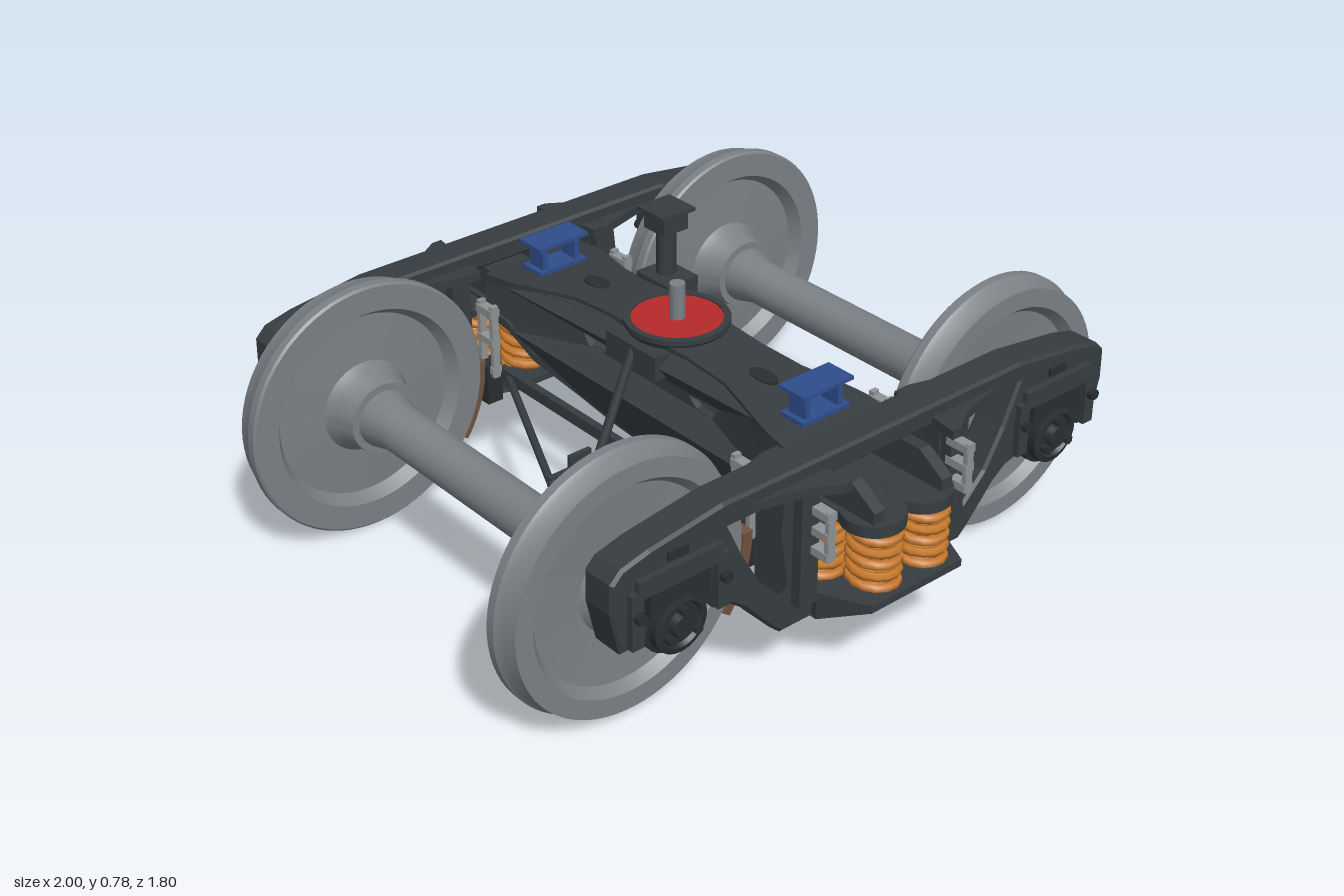
import * as THREE from 'three';
import { toCreasedNormals } from 'three/addons/utils/BufferGeometryUtils.js';

const mat = (name, color) => {
  const m = new THREE.MeshStandardMaterial({ color });
  m.name = name;
  return m;
};
const V = (x, y, z) => new THREE.Vector3(x, y, z);
const v2 = (pts) => pts.map(([x, y]) => new THREE.Vector2(x, y));
const mirror = (half) => [...half, ...half.map(([x, y]) => [-x, y]).reverse()];

export function createModel() {
  const iron = mat('cast iron', 0x363c40);
  const black = mat('black iron', 0x2a2e31);
  const steel = mat('wheel steel', 0x7b8085);
  const pale = mat('pale steel', 0x8f9294);
  const orange = mat('spring orange', 0xc87a2c);
  const red = mat('red liner', 0xb62a2a);
  const blue = mat('bearing blue', 0x2f4d8c);
  const brown = mat('brake shoe brown', 0x70523c);

  const model = new THREE.Group();
  model.name = 'railTruck';
  const add = (parent, name, geo, m) => {
    const mesh = new THREE.Mesh(geo, m);
    mesh.name = name;
    parent.add(mesh);
    return mesh;
  };
  const box = (parent, name, m, x, y, z, w, h, d) => {
    const mesh = add(parent, name, new THREE.BoxGeometry(w, h, d), m);
    mesh.position.set(x, y, z);
    return mesh;
  };
  const rod = (parent, name, m, a, b, r, sides = 10) => {
    const mesh = add(parent, name, new THREE.CylinderGeometry(r, r, a.distanceTo(b), sides), m);
    mesh.position.copy(a).lerp(b, 0.5);
    mesh.quaternion.setFromUnitVectors(V(0, 1, 0), b.clone().sub(a).normalize());
    return mesh;
  };
  const extrude = (pts, depth, holes = [], bevel = 0) => {
    const shape = new THREE.Shape(v2(pts));
    holes.forEach((h) => shape.holes.push(new THREE.Path(v2(h))));
    return new THREE.ExtrudeGeometry(shape, {
      depth: depth - 2 * bevel, bevelEnabled: bevel > 0, bevelThickness: bevel,
      bevelSize: bevel, bevelOffset: -bevel, bevelSegments: 1,
    }).translate(0, 0, bevel - depth / 2);
  };
  // Plan outlines are (x, -z) raised along y; profile outlines are (z, y) spread along x
  const plan = (pts, y0, y1) =>
    extrude(pts, y1 - y0).rotateX(-Math.PI / 2).translate(0, (y0 + y1) / 2, 0);
  const profile = (pts, width, holes) => extrude(pts, width, holes).rotateY(-Math.PI / 2);
  const lathe = (pts, seg = 64) =>
    toCreasedNormals(new THREE.LatheGeometry(v2(pts), seg), 0.5).rotateX(Math.PI / 2);
  const warp = (geo, rule) => {
    const p = geo.attributes.position;
    for (let i = 0; i < p.count; i++) p.setXYZ(i, ...rule(p.getX(i), p.getY(i), p.getZ(i)));
    geo.computeVertexNormals();
    return geo;
  };

  // Shared geometry
  const wheelGeo = lathe([[0.064, 0.44], [0.1, 0.44], [0.112, 0.5], [0.13, 0.528], [0.262, 0.535],
    [0.285, 0.5], [0.354, 0.5], [0.36, 0.506], [0.36, 0.53], [0.35, 0.543],
    [0.342, 0.59], [0.29, 0.59], [0.268, 0.562], [0.13, 0.552], [0.1, 0.59], [0, 0.59]], 72);
  const axleGeo = lathe([[0.08, -0.46], [0.08, -0.43], [0.065, -0.37], [0.065, 0.37], [0.08, 0.43], [0.08, 0.46]], 40);
  const bearingGeo = lathe([[0.06, 0.58], [0.075, 0.6], [0.09, 0.61], [0.09, 0.735], [0.078, 0.74],
    [0.078, 0.765], [0.062, 0.77], [0.055, 0.76], [0.035, 0.76], [0.03, 0.78], [0, 0.78]], 32);
  const coil = (r, wire, turns) => {
    const pts = [];
    for (let i = 0; i <= turns * 12; i++) {
      const a = (i / 12) * Math.PI * 2;
      pts.push(V(r * Math.cos(a), 0.265 + (0.165 * i) / (turns * 12), r * Math.sin(a)));
    }
    return new THREE.TubeGeometry(new THREE.CatmullRomCurve3(pts), turns * 14, wire, 6);
  };
  const outerCoil = coil(0.061, 0.0125, 5), innerCoil = coil(0.033, 0.008, 6);

  const frameOutline = mirror([[0.5, 0.62], [0.72, 0.59], [0.8, 0.57], [0.83, 0.54], [0.832, 0.46],
    [0.805, 0.34], [0.755, 0.34], [0.745, 0.45], [0.72, 0.475], [0.56, 0.475], [0.535, 0.45], [0.525, 0.34],
    [0.47, 0.325], [0.43, 0.295], [0.345, 0.2], [0.31, 0.168]]);
  const sideWindow = [[0.5, 0.562], [0.3, 0.562], [0.31, 0.46], [0.285, 0.3], [0.32, 0.275], [0.39, 0.345], [0.45, 0.45]];
  const holes = [sideWindow, sideWindow.map(([x, y]) => [-x, y]),
    mirror([[0.22, 0.25], [0.22, 0.53], [0.2, 0.56]])];
  // Seats narrow away from the frame
  const taper = (x, y, z) => [x * (Math.abs(z) > 0.15 ? 0.155 : Math.abs(z) > 0.05 ? 0.215 : 0.25), y, z + 0.7];
  const seatGeo = warp(profile([[0.2, 0.255], [0.2, 0.235], [0.07, 0.175], [-0.07, 0.175],
    [-0.2, 0.235], [-0.2, 0.255], [-0.07, 0.255], [0.07, 0.255]], 2), taper);

  // One long side with wheels, frame and springs; the other is this turned half round
  for (const turn of [0, Math.PI]) {
    const side = new THREE.Group();
    side.name = turn ? 'rearSide' : 'frontSide';
    side.rotation.y = turn;
    model.add(side);

    add(side, 'sideFrame', extrude(frameOutline, 0.1, holes, 0.008).translate(0, 0, 0.7), iron);
    add(side, 'springSeat', seatGeo, iron);
    for (const x of [-0.13, -0.045, 0.045, 0.13])
      add(side, 'seatRib', profile([[0.89, 0.235], [0.76, 0.168], [0.64, 0.168], [0.51, 0.235]], 0.022).translate(x, 0, 0), iron);

    // Springs nested in rows of two, three and two
    for (const [x, z] of [[-0.08, 0.57], [0.08, 0.57], [-0.145, 0.7], [0, 0.7], [0.145, 0.7], [-0.08, 0.825], [0.08, 0.825]]) {
      add(side, 'spring', outerCoil, orange).position.set(x, 0, z);
      add(side, 'innerSpring', innerCoil, orange).position.set(x, 0, z);
    }

    for (const s of [-1, 1]) {
      const ax = 0.64 * s;
      add(side, 'wheel', wheelGeo, steel).position.set(ax, 0.36, 0);
      add(side, 'axleBearing', bearingGeo, black).position.set(ax, 0.36, 0);
      for (let i = 0; i < 3; i++) {
        const a = Math.PI / 2 + (i * Math.PI * 2) / 3;
        const x = ax + 0.045 * Math.cos(a), y = 0.36 + 0.045 * Math.sin(a);
        rod(side, 'capBolt', black, V(x, y, 0.755), V(x, y, 0.785), 0.013, 6);
      }
      // Bearing adapter and pedestal jaws
      box(side, 'adapter', black, ax, 0.445, 0.69, 0.18, 0.08, 0.15);
      box(side, 'pedestalRoof', iron, ax, 0.505, 0.7, 0.25, 0.05, 0.135);
      for (const j of [-1, 1]) {
        box(side, 'pedestalJaw', iron, ax + 0.128 * j, 0.425, 0.7, 0.036, 0.15, 0.135);
        rod(side, 'jawBolt', black, V(ax + 0.128 * j, 0.44, 0.62), V(ax + 0.128 * j, 0.44, 0.785), 0.015, 8);
      }
      box(side, 'frameLug', black, ax, 0.552, 0.752, 0.06, 0.022, 0.012);
      // Column beside the spring opening, with flared gussets under the top chord
      box(side, 'column', iron, 0.252 * s, 0.4, 0.7, 0.058, 0.32, 0.16);
      add(side, 'columnGusset', plan([[0.2, -0.6], [0.25, -0.6], [0.44, -0.655], [0.44, -0.745],
        [0.27, -0.785], [0.2, -0.83], [0.17, -0.83]].map(([x, y]) => [x * s, y]), 0.56, 0.585), iron);
      // Friction wedge guides, tall inside and short outside
      for (const [z, y, h] of [[0.525, 0.42, 0.22], [0.8, 0.455, 0.14]]) {
        for (const d of [-0.028, 0.028]) box(side, 'guideBar', pale, 0.235 * s, y, z + d, 0.022, h, 0.014);
        for (const k of [-0.4, 0, 0.4]) box(side, 'guideBridge', pale, 0.235 * s, y + k * h, z, 0.03, 0.022, 0.07);
      }
      // Brake head and curved shoe against the tread
      const shoe = [];
      for (let i = 0; i <= 8; i++) shoe.push([0.352, Math.PI + 0.62 * (i / 8)]);
      for (let i = 8; i >= 0; i--) shoe.push([0.383, Math.PI + 0.62 * (i / 8)]);
      add(side, 'brakeShoe', extrude(shoe.map(([r, a]) => [s * (0.64 + r * Math.cos(a)), 0.36 + r * Math.sin(a)]), 0.07)
        .translate(0, 0, 0.55), brown);
      box(side, 'brakeHead', black, 0.235 * s, 0.285, 0.53, 0.05, 0.12, 0.05);

      // Bolster end: rounded spring caps and sloping cheeks, open between
      rod(side, 'bolsterLobe', iron, V(0.08 * s, 0.43, 0.815), V(0.08 * s, 0.462, 0.815), 0.083, 24);
      add(side, 'bolsterCheek', profile([[0.58, 0.43], [0.87, 0.43], [0.87, 0.495], [0.79, 0.545], [0.58, 0.545]], 0.035)
        .translate(0.115 * s, 0, 0), iron);
    }
    box(side, 'springCap', iron, 0, 0.44, 0.7, 0.42, 0.02, 0.13);
    box(side, 'bolsterEndFloor', iron, 0, 0.445, 0.7, 0.3, 0.03, 0.24);

    // Side bearing
    box(side, 'sideBearingPlate', blue, 0, 0.654, 0.525, 0.17, 0.01, 0.09);
    box(side, 'sideBearingBase', blue, 0, 0.577, 0.525, 0.16, 0.012, 0.08);
    for (const x of [-0.055, 0.055]) box(side, 'sideBearingLeg', blue, x, 0.615, 0.525, 0.016, 0.07, 0.06);
  }

  // Hollow bolster: top plate, bent side walls and floor
  const bolster = new THREE.Group();
  bolster.name = 'bolster';
  model.add(bolster);
  const knots = [0, 0.15, 0.3, 0.45, 0.53, 0.63];
  const widths = [0.11, 0.1, 0.1, 0.14, 0.16, 0.165];
  const tops = [0.605, 0.602, 0.59, 0.576, 0.568, 0.555];
  const floors = [0.29, 0.29, 0.31, 0.37, 0.435, 0.455];
  const at = (list, z) => {
    const a = Math.min(Math.abs(z), 0.6299);
    const i = knots.findIndex((k) => k > a) - 1;
    return list[i] + ((list[i + 1] - list[i]) * (a - knots[i])) / (knots[i + 1] - knots[i]);
  };
  const zs = [...knots.slice(1).map((k) => -k).reverse(), ...knots];
  const slab = (level) => warp(new THREE.BoxGeometry(2, 0.025, 1.26, 1, 1, 42),
    (x, y, z) => [x * at(widths, z), y + at(level, z) - 0.0125, z]);
  add(bolster, 'bolsterTop', toCreasedNormals(slab(tops), 0.5), iron);
  add(bolster, 'bolsterFloor', toCreasedNormals(slab(floors), 0.5), iron);
  const wallHoles = [-1, 1].map((s) => [[0.16, 0.49], [0.19, 0.465], [0.25, 0.46], [0.28, 0.5]].map(([z, y]) => [z * s, y]));
  const wall = [...zs.map((z) => [z, at(floors, z) - 0.02]), ...[...zs].reverse().map((z) => [z, at(tops, z) - 0.01])];
  for (const s of [-1, 1])
    add(bolster, 'bolsterWall', toCreasedNormals(warp(profile(wall, 0.02, wallHoles),
      (x, y, z) => [x + s * (at(widths, z) - 0.012), y, z]), 0.4), iron);
  for (const z of [-0.335, 0.335]) {
    const pocket = rod(bolster, 'topPocket', black, V(0, 0.575, z), V(0, 0.591, z), 0.025, 20);
    pocket.scale.z = 1.9;
  }

  // Centre bowl with raised rim, sunken liner and king pin
  const bowl = add(bolster, 'centreBowl', lathe([[0, 0.59], [0.13, 0.59], [0.142, 0.61], [0.142, 0.624],
    [0.123, 0.624], [0.123, 0.605], [0, 0.605]], 48), iron);
  bowl.geometry.rotateX(-Math.PI / 2);
  rod(bolster, 'centreLiner', red, V(0, 0.6, 0), V(0, 0.62, 0), 0.124, 48);
  rod(bolster, 'kingPin', steel, V(0, 0.6, 0), V(0, 0.72, 0), 0.021, 20);
  box(bolster, 'leverBracket', iron, -0.135, 0.56, 0, 0.05, 0.07, 0.2);

  // Load sensing valve on its post
  const valve = new THREE.Group();
  valve.name = 'loadValve';
  model.add(valve);
  box(valve, 'valveBracket', iron, 0.185, 0.55, -0.26, 0.11, 0.07, 0.13);
  rod(valve, 'valvePost', iron, V(0.19, 0.54, -0.27), V(0.19, 0.73, -0.27), 0.028, 16);
  box(valve, 'valveHead', iron, 0.19, 0.745, -0.27, 0.085, 0.055, 0.085);
  box(valve, 'valveLid', iron, 0.19, 0.776, -0.27, 0.115, 0.01, 0.11);

  // Wheelsets' axles and the trussed brake beams
  for (const s of [-1, 1]) {
    add(model, 'axle', axleGeo, steel).position.set(0.64 * s, 0.36, 0);
    const brake = new THREE.Group();
    brake.name = 'brakeBeam';
    brake.rotation.y = s > 0 ? 0 : Math.PI;
    model.add(brake);
    box(brake, 'beamBar', iron, 0.178, 0.285, 0, 0.022, 0.035, 1.1);
    for (const z of [-1, 1])
      rod(brake, 'trussRod', iron, V(0.19, 0.285, 0.5 * z), V(0.43, 0.285, 0), 0.011);
    box(brake, 'beamStrut', iron, 0.3, 0.285, 0, 0.27, 0.03, 0.018);
    for (const z of [-0.018, 0.018]) box(brake, 'leverClevis', iron, 0.32, 0.25, z, 0.07, 0.15, 0.012);
    rod(brake, 'clevisPin', black, V(0.32, 0.2, -0.035), V(0.32, 0.2, 0.035), 0.02, 12);
    rod(brake, 'strutPin', black, V(0.32, 0.285, -0.035), V(0.32, 0.285, 0.035), 0.02, 12);
    rod(brake, 'brakeLever', iron, V(0.32, 0.19, 0), V(0.15, 0.58, 0), 0.013);
  }
  rod(model, 'throughRod', iron, V(-0.32, 0.2, 0), V(0.32, 0.2, 0), 0.011);
  return model;
}
